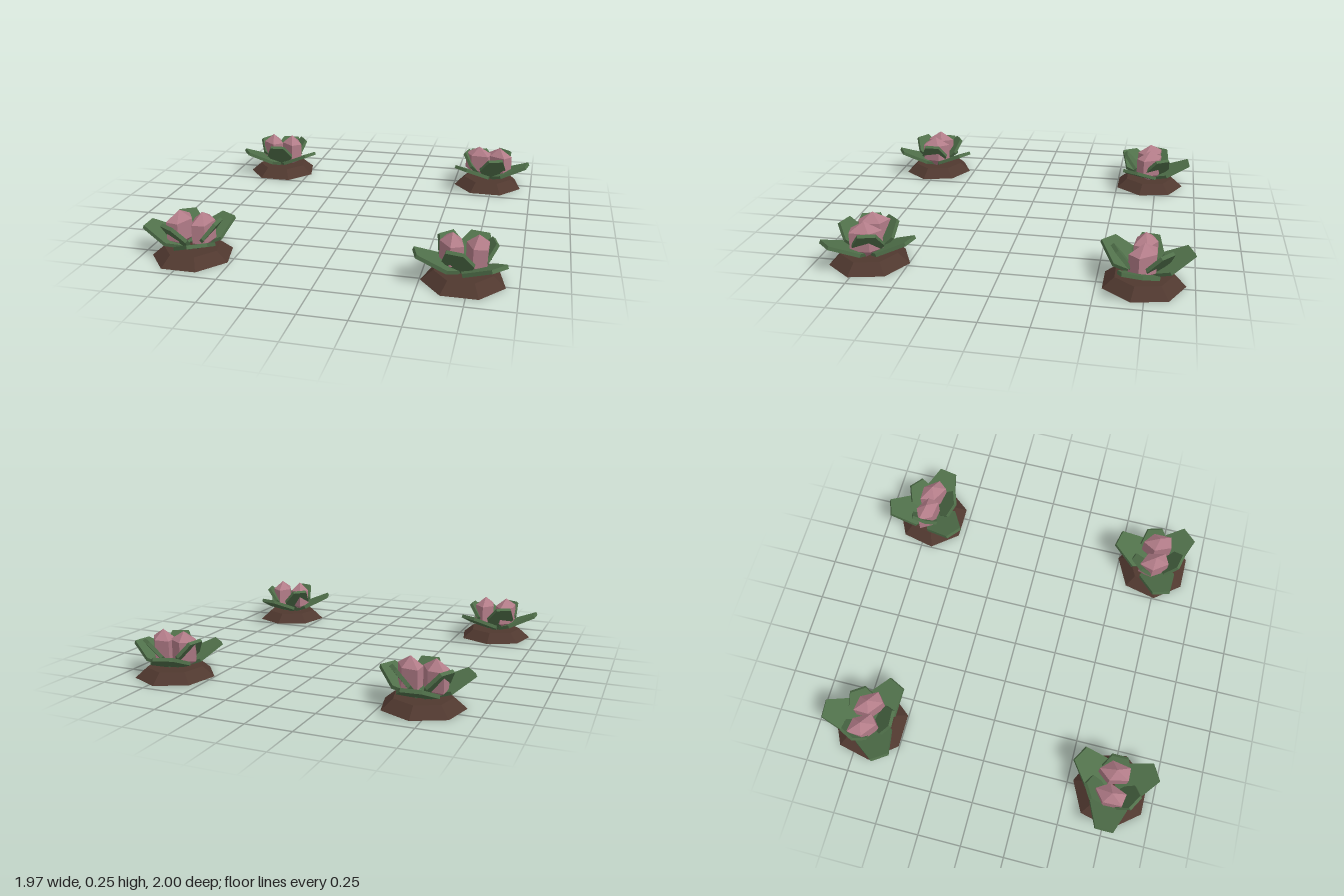
import * as THREE from 'three';

const mat = (name, color) => {
  const m = new THREE.MeshStandardMaterial({ color, flatShading: true });
  m.name = name;
  return m;
};

// Six-sided leaf lying along +x, then tilted up about its root
function leafGeometry(length, widest, halfRoot, halfMid, halfTip, tilt, r, y) {
  const s = new THREE.Shape();
  s.moveTo(0, -halfRoot);
  s.lineTo(widest, -halfMid);
  s.lineTo(length, -halfTip);
  s.lineTo(length, halfTip);
  s.lineTo(widest, halfMid);
  s.lineTo(0, halfRoot);
  s.closePath();
  return new THREE.ExtrudeGeometry(s, { depth: 0.02, bevelEnabled: false })
    .rotateX(-Math.PI / 2)
    .rotateZ(THREE.MathUtils.degToRad(tilt))
    .translate(r, y, 0);
}

export function createModel() {
  const soil = mat('soil brown', 0x50382f);
  const green = mat('leaf green', 0x50704a);
  const pink = mat('bud pink', 0xb27c88);

  // Heptagonal mound with one corner pointing to the back
  const moundGeo = new THREE.CylinderGeometry(0.155, 0.22, 0.055, 7)
    .rotateY(Math.PI).translate(0, 0.0275, 0);
  const outerGeo = leafGeometry(0.25, 0.09, 0.04, 0.108, 0.052, 24, 0.03, 0.05);
  const innerGeo = leafGeometry(0.19, 0.095, 0.035, 0.085, 0.046, 52, 0.045, 0.053);
  // Faceted bud, longest along x
  const budGeo = new THREE.SphereGeometry(1, 5, 3).scale(0.108, 0.102, 0.07);

  const model = new THREE.Group();
  model.name = 'plants';

  const add = (parent, name, geo, material, degrees = 0) => {
    const m = new THREE.Mesh(geo, material);
    m.name = name;
    m.rotation.y = -THREE.MathUtils.degToRad(degrees);
    parent.add(m);
    return m;
  };

  // Position, leaf turn, and turn of each bud (degrees from +x towards +z)
  const plants = [
    { x: -0.695, z: -0.703, turn: 26, buds: [50, 50] },
    { x: 0.72, z: -0.735, turn: 10, buds: [18, 40] },
    { x: -0.73, z: 0.752, turn: 60, buds: [100, 88] },
    { x: 0.72, z: 0.715, turn: 43, buds: [65, 78] },
  ];

  for (const p of plants) {
    const plant = new THREE.Group();
    plant.name = 'plant';
    plant.position.set(p.x, 0, p.z);
    model.add(plant);

    add(plant, 'mound', moundGeo, soil);
    for (let i = 0; i < 3; i++) {
      add(plant, 'outerLeaf', outerGeo, green, p.turn + i * 120);
      add(plant, 'innerLeaf', innerGeo, green, p.turn + 60 + i * 120);
    }
    p.buds.forEach((turn, i) => {
      const bud = add(plant, 'bud', budGeo, pink, turn);
      bud.position.set(i ? 0.067 : -0.065, 0.153, -0.003);
    });
  }
  return model;
}
